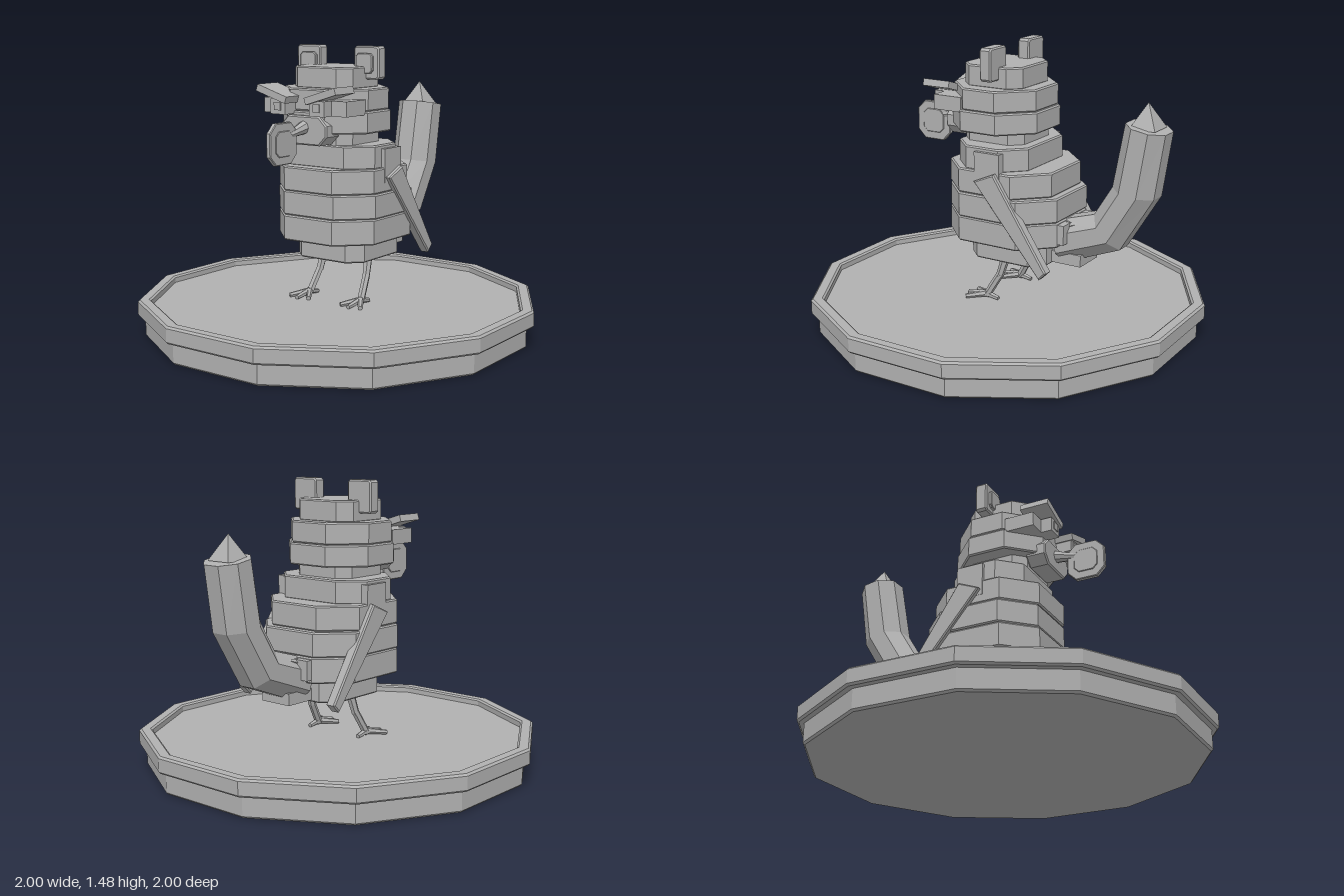
import * as THREE from 'three';

const grey = new THREE.MeshStandardMaterial({ color: 0xb0b0b0, flatShading: true });
grey.name = 'stone grey';

function add(parent, name, geometry, x = 0, y = 0, z = 0) {
  const mesh = new THREE.Mesh(geometry, grey);
  mesh.name = name;
  mesh.position.set(x, y, z);
  parent.add(mesh);
  return mesh;
}

function polygon(points) {
  return new THREE.Shape(points.map(([x, y]) => new THREE.Vector2(x, y)));
}

// rectangle with cut corners
function cutRect(x0, x1, y0, y1, c) {
  return polygon([[x0 + c, y0], [x1 - c, y0], [x1, y0 + c], [x1, y1 - c],
    [x1 - c, y1], [x0 + c, y1], [x0, y1 - c], [x0, y0 + c]]);
}

// extrusion from depth 0 to depth d with a small bevel inside the outline
function slab(shape, d, b = 0.007) {
  const g = new THREE.ExtrudeGeometry(shape, { depth: d - 2 * b, bevelEnabled: true,
    bevelThickness: b, bevelSize: b, bevelOffset: -b, bevelSegments: 1 });
  return g.translate(0, 0, b);
}

// horizontal eight-sided layer
function tier(parent, name, halfX, z0, z1, y0, y1, cut) {
  const g = slab(cutRect(-halfX, halfX, -z1, -z0, cut), y1 - y0).rotateX(-Math.PI / 2);
  return add(parent, name, g, 0, y0, 0);
}

// box given by its limits
function block(parent, name, x0, x1, y0, y1, z0, z1) {
  return add(parent, name, new THREE.BoxGeometry(x1 - x0, y1 - y0, z1 - z0),
    (x0 + x1) / 2, (y0 + y1) / 2, (z0 + z1) / 2);
}

// tapered rod between two points
function rod(parent, name, a, b, ra, rb, sides = 6) {
  const A = new THREE.Vector3(...a), B = new THREE.Vector3(...b);
  const dir = B.clone().sub(A);
  const mesh = add(parent, name, new THREE.CylinderGeometry(rb, ra, dir.length(), sides));
  mesh.position.copy(A).add(B).multiplyScalar(0.5);
  mesh.quaternion.setFromUnitVectors(new THREE.Vector3(0, 1, 0), dir.normalize());
  return mesh;
}

// eight-sided tube through mitred sections [z, y, halfZ, halfY]
function tailGeometry(sections, halfX) {
  const pos = [], index = [], n = 8, k = 1 / Math.cos(Math.PI / 8);
  for (const [z, y, mz, my] of sections) {
    for (let i = 0; i < n; i++) {
      const a = (i + 0.5) / n * Math.PI * 2, s = Math.sin(a) * k;
      pos.push(Math.cos(a) * k * halfX, y + my * s, z + mz * s);
    }
  }
  for (let r = 0; r < sections.length - 1; r++) {
    for (let i = 0; i < n; i++) {
      const a = r * n + i, a2 = r * n + (i + 1) % n;
      index.push(a, a + n, a2, a2, a + n, a2 + n);
    }
  }
  const last = (sections.length - 1) * n;
  for (let i = 1; i < n - 1; i++) index.push(last, last + i + 1, last + i);
  const g = new THREE.BufferGeometry();
  g.setAttribute('position', new THREE.Float32BufferAttribute(pos, 3));
  g.setIndex(index);
  g.computeVertexNormals();
  return g;
}

function buildSide(side) {
  const g = new THREE.Group();
  g.name = side > 0 ? 'leftSide' : 'rightSide';
  g.scale.x = side;

  // ear with raised inner plate
  add(g, 'ear', slab(cutRect(0.105, 0.255, 1.315, 1.48, 0.012), 0.065), 0, 0, -0.055);
  add(g, 'innerEar', slab(cutRect(0.125, 0.225, 1.345, 1.445, 0.015), 0.02, 0.004), 0, 0, 0.005);

  // eye, pupil, cheek and slanted brow
  block(g, 'eye', 0.075, 0.165, 1.15, 1.225, 0.18, 0.34);
  block(g, 'pupil', 0.1, 0.14, 1.17, 1.21, 0.33, 0.346);
  block(g, 'cheek', 0.165, 0.255, 1.15, 1.225, 0.12, 0.28);
  const brow = add(g, 'brow', new THREE.BoxGeometry(0.19, 0.035, 0.155), 0.15, 1.25, 0.278);
  brow.rotation.z = 0.3;

  // shoulder and folded wing
  block(g, 'shoulder', 0.2, 0.3, 0.8, 0.975, -0.13, 0.015);
  const wing = slab(polygon([[0.37, 0.385], [0.41, 0.425], [0.11, 0.88], [-0.005, 0.83]]), 0.055);
  add(g, 'wing', wing.rotateY(Math.PI / 2), 0.27, 0, 0);

  // leg and toes
  rod(g, 'thigh', [0.14, 0.42, -0.08], [0.15, 0.29, -0.04], 0.024, 0.02);
  rod(g, 'shin', [0.15, 0.3, -0.043], [0.165, 0.175, 0.03], 0.02, 0.02);
  for (const a of [-0.6, 0, 0.6, Math.PI]) {
    const s = Math.sin(a), c = Math.cos(a);
    const len = a > 3 ? 0.07 : 0.11;
    rod(g, 'toe', [0.165, 0.185, 0.03], [0.165 + s * len, 0.17, 0.03 + c * len], 0.018, 0.012);
  }

  // small feather above the tail root
  rod(g, 'rumpFeather', [0.075, 0.59, -0.36], [0.075, 0.622, -0.46], 0.03, 0.003, 4);
  return g;
}

export function createModel() {
  const model = new THREE.Group();
  model.name = 'birdFigure';

  // twelve-sided stand with a rim around a sunken floor
  const k = 1 / Math.cos(Math.PI / 12);
  const profile = [[0, 0], [0.955, 0], [0.965, 0.01], [0.965, 0.105], [0.99, 0.108], [1, 0.118],
    [1, 0.185], [0.99, 0.195], [0.945, 0.195], [0.935, 0.187], [0.935, 0.16], [0, 0.16]];
  const stand = new THREE.LatheGeometry(
    profile.map(([r, y]) => new THREE.Vector2(r * k, y)), 12);
  add(model, 'stand', stand.rotateY(Math.PI / 12));

  // stacked body and head layers: halfX, z0, z1, y0, y1, corner cut
  const tiers = [
    ['belly', 0.21, -0.31, 0.13, 0.39, 0.505, 0.07],
    ['lowerBody', 0.3, -0.375, 0.258, 0.5, 0.63, 0.15],
    ['middleBody', 0.305, -0.375, 0.253, 0.63, 0.755, 0.15],
    ['upperBody', 0.298, -0.34, 0.258, 0.755, 0.88, 0.15],
    ['chest', 0.28, -0.22, 0.185, 0.875, 0.995, 0.11],
    ['neck', 0.178, -0.165, 0.18, 0.985, 1.065, 0.06],
    ['lowerHead', 0.265, -0.235, 0.268, 1.055, 1.165, 0.15],
    ['upperHead', 0.26, -0.225, 0.255, 1.165, 1.275, 0.15],
    ['crown', 0.18, -0.157, 0.18, 1.27, 1.38, 0.06],
  ];
  for (const t of tiers) tier(model, ...t);

  // face disc
  add(model, 'faceDisc', slab(cutRect(-0.14, 0.14, 1.0, 1.145, 0.045), 0.11), 0, 0, 0.18);

  // beak and the thin plate held in it
  rod(model, 'beak', [0, 1.09, 0.27], [0, 1.055, 0.42], 0.036, 0.014, 8);
  const plate = slab(cutRect(-0.56, -0.355, 0.92, 1.125, 0.045), 0.026, 0.004);
  add(model, 'heldPlate', plate.rotateY(Math.PI / 2), -0.013, 0, 0);
  const inset = slab(cutRect(-0.522, -0.393, 0.96, 1.085, 0.025), 0.034, 0.003);
  add(model, 'platePanel', inset.rotateY(Math.PI / 2), -0.017, 0, 0);

  // rump and curved tail with a pyramid tip
  block(model, 'rump', -0.15, 0.15, 0.52, 0.62, -0.41, -0.3);
  block(model, 'tailRoot', -0.09, 0.09, 0.4, 0.46, -0.475, -0.28);
  const sections = [[-0.33, 0.5, 0.035, 0.105], [-0.596, 0.594, 0.072, 0.08],
    [-0.73, 0.813, 0.11, 0.017], [-0.784, 1.137, 0.104, 0.018]];
  const tail = add(model, 'tail', tailGeometry(
    sections.map(([z, y, a, b]) => [z, y, a * 0.924, b * 0.924]).map(([z, y, a, b]) =>
      [z, y, a / 0.924, b / 0.924]), 0.112));
  tail.castShadow = false;
  const tip = new THREE.ConeGeometry(0.068 * Math.SQRT2, 0.125, 4).rotateY(Math.PI / 4);
  add(model, 'tailTip', tip, 0, 1.195, -0.776);

  model.add(buildSide(1), buildSide(-1));
  return model;
}
